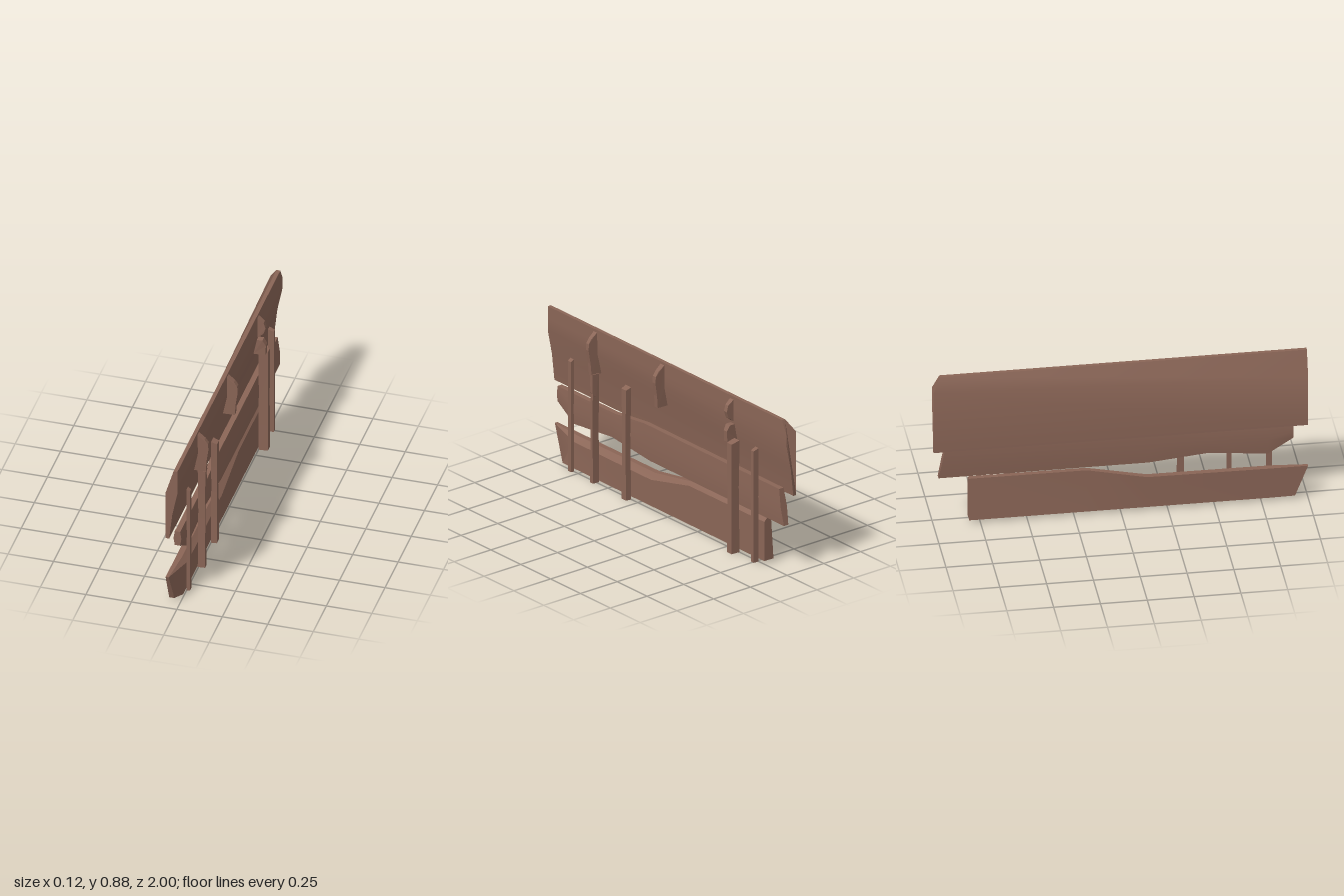
import * as THREE from 'three';
import { toCreasedNormals } from 'three/addons/utils/BufferGeometryUtils.js';

// Skin a list of cross-sections ([x, y, z] points, counter-clockwise from +z), ordered from back to front
function loft(sections) {
  const n = sections[0].length;
  const pos = sections.flat(2);
  const idx = [];
  for (let i = 0; i < sections.length - 1; i++) {
    for (let j = 0; j < n; j++) {
      const k = (j + 1) % n;
      const a = i * n + j, b = i * n + k, c = b + n, d = a + n;
      idx.push(a, b, c, a, c, d);
    }
  }
  const cap = (s) => THREE.ShapeUtils.triangulateShape(s.map((p) => new THREE.Vector2(p[0], p[1])), []);
  const last = (sections.length - 1) * n;
  for (const [a, b, c] of cap(sections[0])) idx.push(a, c, b);
  for (const [a, b, c] of cap(sections[sections.length - 1])) idx.push(last + a, last + b, last + c);
  const geo = new THREE.BufferGeometry();
  geo.setAttribute('position', new THREE.Float32BufferAttribute(pos, 3));
  geo.setIndex(idx);
  return toCreasedNormals(geo, 0.62);
}

// Upright post: a box pinched by its height, with a sloped top
function postGeometry({ z, width, depth, top, bottom = 0, pinch = 0, slope = 0.012 }) {
  const h = top - bottom;
  const geo = new THREE.BoxGeometry(depth, h, width, 1, 4, 1).toNonIndexed();
  const p = geo.attributes.position;
  for (let i = 0; i < p.count; i++) {
    const t = p.getY(i) / h + 0.5;
    const s = 1 - pinch * Math.sin(Math.PI * t);
    const outer = p.getX(i) > 0;
    const y = bottom + t * h - (outer && t > 0.99 ? slope : 0);
    p.setXYZ(i, p.getX(i) + depth / 2, y, z + p.getZ(i) * s * (outer ? 0.85 : 1));
  }
  geo.computeVertexNormals();
  return geo;
}

// Peg: side outline extruded along z, narrowing outwards and leaning with height
function pegGeometry(outline, z, width, lean = 0) {
  const shape = new THREE.Shape(outline.map(([x, y]) => new THREE.Vector2(x, y)));
  const geo = new THREE.ExtrudeGeometry(shape, { depth: width, bevelEnabled: false });
  const p = geo.attributes.position;
  for (let i = 0; i < p.count; i++) {
    const s = p.getX(i) > 0.03 ? 0.8 : 1;
    p.setZ(i, z + (p.getZ(i) - width / 2) * s + lean * (p.getY(i) - 0.75));
  }
  geo.computeVertexNormals();
  return geo;
}

export function createModel() {
  const model = new THREE.Group();
  const wood = new THREE.MeshStandardMaterial({ color: 0x8a6556 });
  wood.name = 'brown wood';
  const add = (name, geo) => {
    const mesh = new THREE.Mesh(geo, wood);
    mesh.name = name;
    model.add(mesh);
  };

  // Tall top plank, its rear corner cut off
  const topSection = (zEnd, zTop, yBack) => [
    [-0.062, 0.445, zEnd], [-0.042, 0.445, zEnd], [-0.025, 0.6, zEnd], [0.003, 0.74, zEnd],
    [0.003, 0.81, zEnd], [0.003, 0.88, zTop], [-0.018, 0.88, zTop], [-0.062, yBack, zEnd],
  ];
  add('topPlank', loft([topSection(-1, -0.96, 0.81), topSection(1, 1, 0.735)]));

  // Middle plank with a broken lower edge: top z, top y, bottom z, bottom y
  const middle = [
    [-0.93, 0.472, -0.97, 0.272], [0.2, 0.472, 0.15, 0.272], [0.45, 0.445, 0.47, 0.303],
    [0.79, 0.445, 0.79, 0.272], [0.925, 0.445, 0.925, 0.357],
  ].map(([zt, yt, zb, yb]) => {
    const zm = (zt + zb) / 2, ym = (yt + yb) / 2;
    return [
      [-0.033, yb, zb], [-0.003, yb, zb], [0.003, ym, zm],
      [-0.003, yt, zt], [-0.033, yt, zt], [-0.04, ym, zm],
    ];
  });
  add('middlePlank', loft(middle));

  // Bottom plank, stepped along the top edge and split to a point at the front
  const bottomSection = (z, yTop, yShoulder, xTop, xBack) => [
    [-0.062, 0.018, z], [0, 0.018, z], [0, yShoulder, z], [xTop, yTop, z], [xBack, yTop, z],
  ];
  add('bottomPlank', loft([
    bottomSection(-0.81, 0.262, 0.243, -0.018, -0.045),
    bottomSection(-0.18, 0.26, 0.24, -0.018, -0.045),
    bottomSection(0.14, 0.2, 0.168, -0.03, -0.062),
    [[-0.062, 0.018, 0.8], [0, 0.018, 0.88], [0, 0.17, 0.79], [-0.03, 0.197, 0.8], [-0.062, 0.196, 0.8]],
    [[-0.062, 0.02, 0.93], [-0.035, 0.02, 0.93], [-0.036, 0.06, 0.945], [-0.045, 0.196, 1], [-0.062, 0.196, 1]],
  ]));

  // Upright posts in front of the planks
  [
    { z: 0.8, width: 0.03, depth: 0.018, top: 0.645 },
    { z: 0.588, width: 0.028, depth: 0.04, top: 0.635, bottom: 0.01, pinch: 0.25 },
    { z: 0.328, width: 0.046, depth: 0.032, top: 0.645, pinch: 0.25 },
    { z: -0.578, width: 0.046, depth: 0.05, top: 0.642, pinch: 0.12 },
    { z: -0.748, width: 0.028, depth: 0.032, top: 0.652 },
  ].forEach((spec, i) => add(`post${i + 1}`, postGeometry(spec)));

  // Curved pegs on the top plank
  const curved = [
    [-0.02, 0.63], [0.045, 0.63], [0.05, 0.7], [0.061, 0.775], [0.058, 0.812],
    [0.04, 0.837], [0.002, 0.866], [0, 0.74],
  ];
  add('frontPeg', pegGeometry(curved, 0.597, 0.028, 0.04));
  add('middlePeg', pegGeometry(curved, 0.04, 0.032));

  // Splinter below the front peg
  add('splinter', pegGeometry([[0.02, 0.5], [0.043, 0.53], [0.045, 0.635], [0.005, 0.635]], 0.585, 0.022));

  // Broken rear peg in two pieces
  add('rearPegTop', pegGeometry(
    [[0, 0.735], [0.035, 0.765], [0.046, 0.8], [0.036, 0.835], [0, 0.864]], -0.54, 0.03));
  add('rearPegBase', pegGeometry(
    [[-0.02, 0.63], [0.045, 0.63], [0.048, 0.69], [0.03, 0.722], [-0.002, 0.722]], -0.542, 0.034));

  return model;
}
